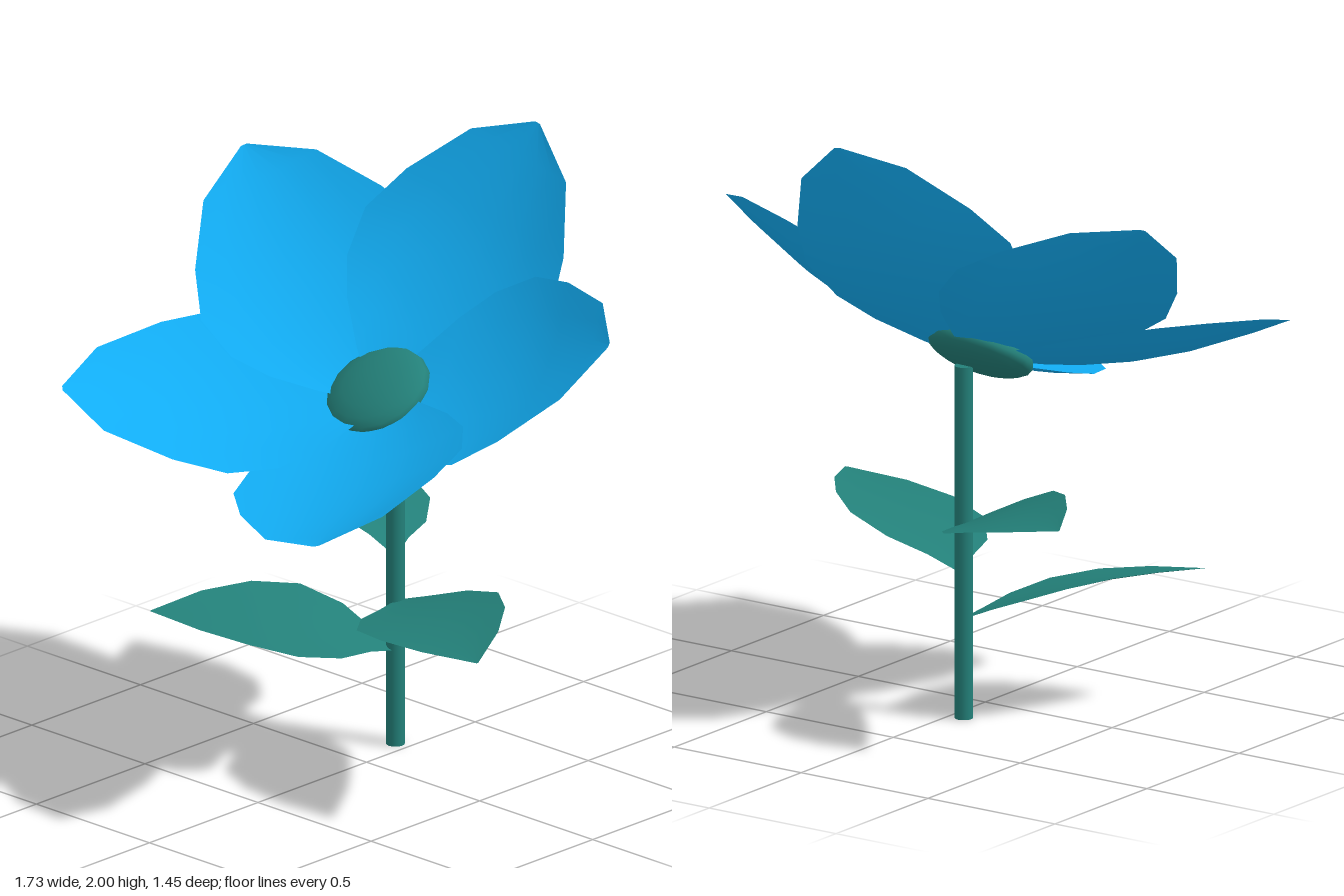
import * as THREE from 'three';

const V = (a) => new THREE.Vector3(...a);
const blue = new THREE.MeshStandardMaterial({ color: 0x12aef5, side: THREE.DoubleSide });
const green = new THREE.MeshStandardMaterial({ color: 0x238079, side: THREE.DoubleSide });

// Half widths along the length: [t, half width]
const petalOutline = [[0, 0.04], [0.1, 0.16], [0.22, 0.28], [0.34, 0.36], [0.5, 0.39], [0.67, 0.33], [0.88, 0.2], [1, 0.01]];
const leafOutline = [[0, 0.02], [0.1, 0.08], [0.22, 0.18], [0.4, 0.24], [0.6, 0.21], [0.8, 0.13], [1, 0.003]];

// Curved blade from root to tip; bend(t, u) lifts it along its upward normal
function blade(root, tip, side, outline, bend, scale = 1) {
  const along = tip.clone().sub(root);
  const across = side.clone().addScaledVector(along, -side.dot(along) / along.lengthSq()).normalize();
  const normal = across.clone().cross(along).normalize();
  if (normal.y < 0) {
    normal.negate();
    across.negate();
  }
  const cols = 6, pos = [], index = [];
  outline.forEach(([t, half], r) => {
    for (let c = 0; c <= cols; c++) {
      const u = (c / cols) * 2 - 1;
      const p = root.clone().addScaledVector(along, t)
        .addScaledVector(across, u * half * scale)
        .addScaledVector(normal, bend(t, u));
      pos.push(p.x, p.y, p.z);
      if (r && c) {
        const d = r * (cols + 1) + c, b = d - cols - 1;
        index.push(b - 1, b, d, b - 1, d, d - 1);
      }
    }
  });
  const g = new THREE.BufferGeometry();
  g.setAttribute('position', new THREE.Float32BufferAttribute(pos, 3));
  g.setIndex(index);
  g.computeVertexNormals();
  return g;
}

export function createModel() {
  const model = new THREE.Group();
  const add = (name, geometry, material) => {
    const mesh = new THREE.Mesh(geometry, material);
    mesh.name = name;
    model.add(mesh);
    return mesh;
  };

  // Stem
  add('stem', new THREE.CylinderGeometry(0.03, 0.03, 1.17, 16), green).position.set(-0.05, 0.585, -0.185);

  // Flower centre, a flattened ball tilted forward
  const heart = add('flowerCentre', new THREE.SphereGeometry(0.18, 16, 10), green);
  heart.scale.y = 0.36;
  heart.rotation.x = 0.57;
  heart.position.set(-0.075, 1.21, -0.13);

  // Five cupped petals: tip, sideways direction
  const root = V([-0.08, 1.19, -0.14]);
  [
    ['backPetal', [0.06, 2.0, -0.725], [0.38, -0.08, -0.04]],
    ['leftPetal', [0.86, 1.59, -0.22], [0.12, -0.21, 0.32]],
    ['frontLeftPetal', [0.47, 1.06, 0.72], [-0.33, -0.11, 0.19]],
    ['frontRightPetal', [-0.75, 1.25, 0.62], [-0.27, 0.14, -0.25]],
    ['rightPetal', [-0.86, 1.79, -0.33], [0.18, 0.13, -0.33]],
  ].forEach(([name, tip, side]) => {
    const cup = (t, u) => -0.07 * Math.sin(Math.PI * t) * (1 - u * u);
    add(name, blade(root, V(tip), V(side), petalOutline, cup), blue);
  });

  // Three arched leaves: root, tip, sideways direction, width scale
  [
    ['leftLeaf', [-0.04, 0.49, -0.19], [0.73, 0.6, 0.25], [0.5, 0.16, -0.84], 1],
    ['backRightLeaf', [-0.06, 0.65, -0.19], [-0.66, 0.8, -0.51], [-0.45, 0.22, 0.85], 0.85],
    ['frontRightLeaf', [-0.05, 0.33, -0.18], [-0.6, 0.46, 0.37], [-0.69, 0.2, -0.7], 0.92],
  ].forEach(([name, from, tip, side, scale]) => {
    const arch = (t, u) => Math.sin(Math.PI * t) * (0.05 - 0.015 * (1 - u * u));
    add(name, blade(V(from), V(tip), V(side), leafOutline, arch, scale), green);
  });

  return model;
}
